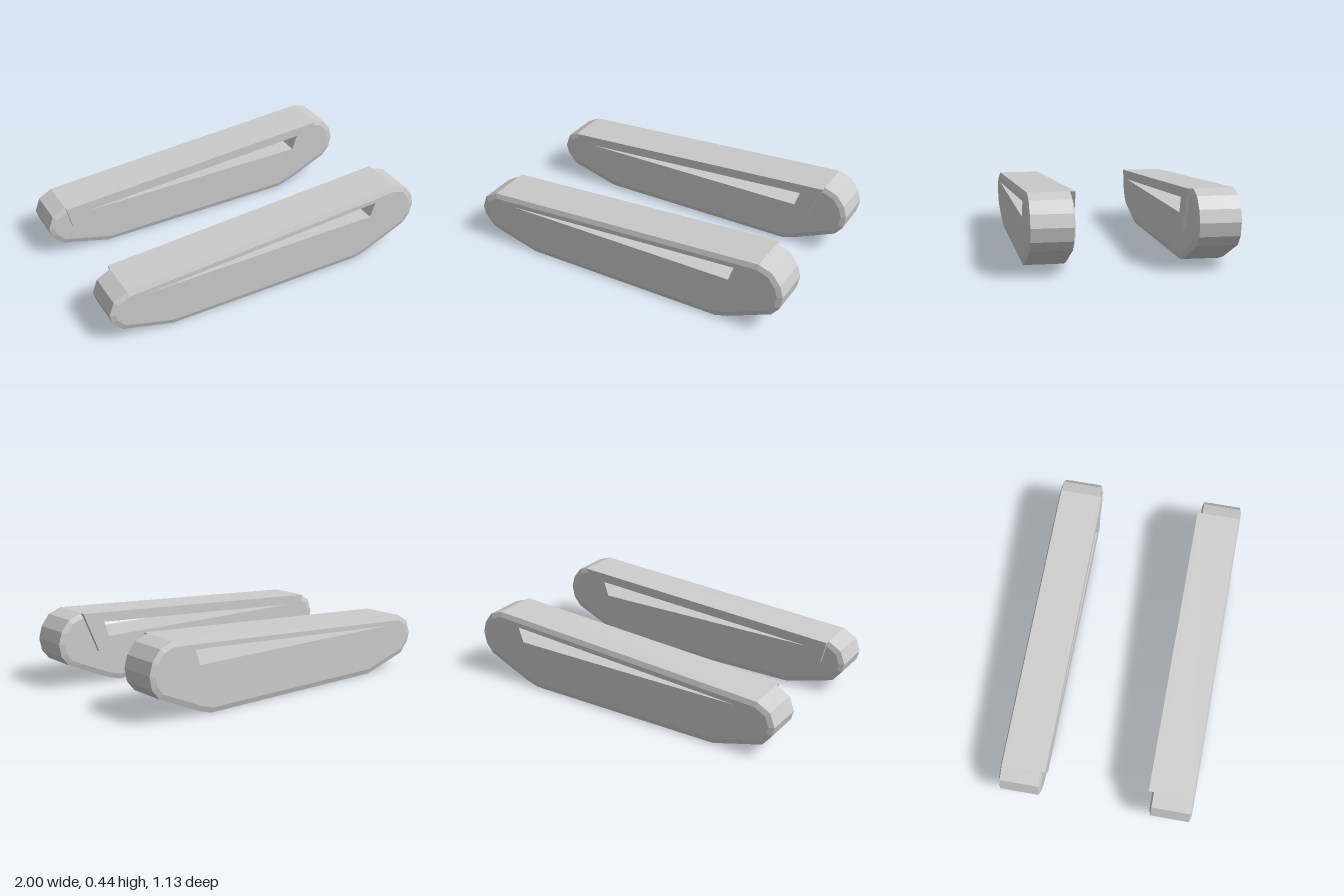
import * as THREE from 'three';

const toVectors = (list) => list.map(([x, y]) => new THREE.Vector2(x, y));

// Side profiles, counter-clockwise; the slot runs clockwise so its walls face inward
const trackProfile = toVectors([
  [-1, 0.205], [-0.985, 0.15], [-0.93, 0.085], [-0.63, 0], [0.6, 0], [0.68, 0.025], [0.94, 0.14],
  [0.985, 0.195], [1, 0.27], [0.98, 0.34], [0.93, 0.405], [0.85, 0.435], [-0.89, 0.33], [-0.97, 0.285],
]);
const panelProfile = toVectors([[-0.86, 0.2], [0.75, 0.2], [0.85, 0.435], [-0.89, 0.33]]);
const slot = toVectors([[-0.765, 0.28], [0.71, 0.37], [0.68, 0.28]]);

// Moves every edge of a profile inward by d, with mitred corners
function inset(points, d) {
  const n = points.length;
  return points.map((p, i) => {
    const a = p.clone().sub(points[(i + n - 1) % n]).normalize();
    const b = points[(i + 1) % n].clone().sub(p).normalize();
    const na = new THREE.Vector2(-a.y, a.x), nb = new THREE.Vector2(-b.y, b.x);
    return na.clone().add(nb).multiplyScalar(d / (1 + na.dot(nb))).add(p);
  });
}

// Slotted slab through a list of { points, z } rings; side = -1 mirrors it in z
function slab(rings, side) {
  const triangles = [];
  const addTriangle = (a, b, c) => triangles.push(...(side > 0 ? [a, b, c] : [a, c, b]));
  const at = (p, z) => new THREE.Vector3(p.x, p.y, z * side);

  const addWall = (lower, upper) => lower.points.forEach((p, i) => {
    const j = (i + 1) % lower.points.length;
    const a = at(p, lower.z), b = at(lower.points[j], lower.z);
    const c = at(upper.points[j], upper.z), d = at(upper.points[i], upper.z);
    addTriangle(a, b, c);
    addTriangle(a, c, d);
  });

  const addCap = ({ points, z }, facing) => {
    const all = [...points, ...slot];
    for (const [i, j, k] of THREE.ShapeUtils.triangulateShape(points, [slot])) {
      const [a, b, c] = [i, j, k].map((m) => at(all[m], z));
      if (facing > 0) addTriangle(a, b, c);
      else addTriangle(a, c, b);
    }
  };

  const first = rings[0], last = rings[rings.length - 1];
  for (let i = 0; i + 1 < rings.length; i++) addWall(rings[i], rings[i + 1]);
  addWall({ points: slot, z: first.z }, { points: slot, z: last.z });
  addCap(first, -1);
  addCap(last, 1);

  const geometry = new THREE.BufferGeometry().setFromPoints(triangles);
  geometry.computeVertexNormals();
  return geometry;
}

export function createModel() {
  const model = new THREE.Group();
  model.name = 'trackPair';
  const material = new THREE.MeshStandardMaterial({ color: 0xcccccc, flatShading: true });
  const rim = inset(trackProfile, 0.03);

  for (const [side, label] of [[1, 'front'], [-1, 'back']]) {
    const unit = new THREE.Group();
    unit.name = label + 'Track';

    // Track body with chamfered rims
    const body = new THREE.Mesh(slab([
      { points: rim, z: 0.32 },
      { points: trackProfile, z: 0.33 },
      { points: trackProfile, z: 0.555 },
      { points: rim, z: 0.565 },
    ], side), material);
    body.name = label + 'TrackBody';

    // Raised mounting panel around the slot on the inner face
    const panel = new THREE.Mesh(slab([
      { points: panelProfile, z: 0.3 },
      { points: panelProfile, z: 0.33 },
    ], side), material);
    panel.name = label + 'InnerPanel';

    unit.add(body, panel);
    model.add(unit);
  }
  return model;
}
